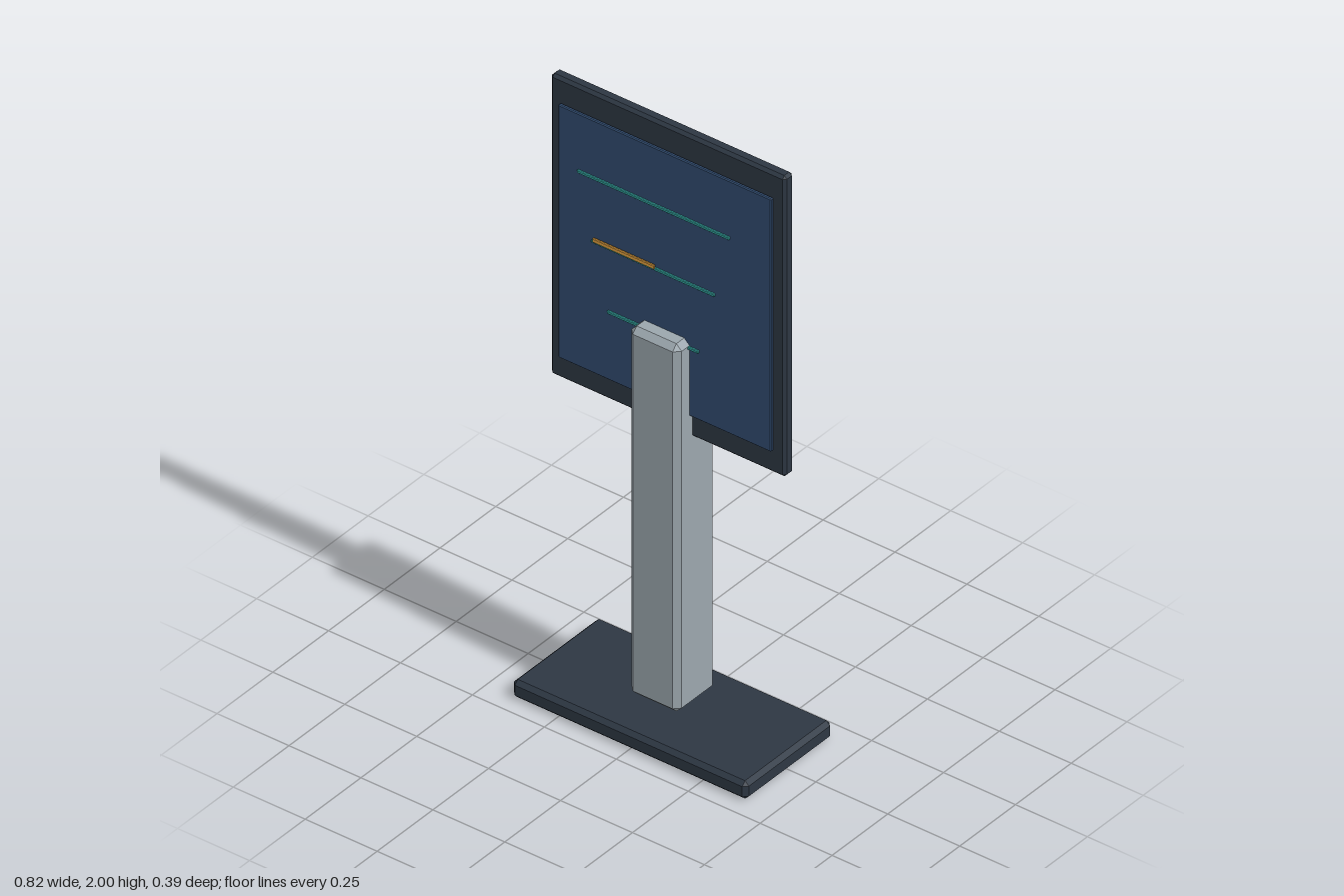
import * as THREE from 'three';
import { ConvexGeometry } from 'three/addons/geometries/ConvexGeometry.js';

const paint = (color) => new THREE.MeshStandardMaterial({ color, flatShading: true });

// Box between two corners with every edge cut by a single flat chamfer
function chamferBox(name, [x0, y0, z0], [x1, y1, z1], chamfer, material) {
  const half = [(x1 - x0) / 2, (y1 - y0) / 2, (z1 - z0) / 2];
  const points = [];
  for (const sx of [-1, 1]) for (const sy of [-1, 1]) for (const sz of [-1, 1]) {
    for (let axis = 0; axis < 3; axis++) {
      const [x, y, z] = half.map((h, i) => (i === axis ? h : h - chamfer));
      points.push(new THREE.Vector3(sx * x, sy * y, sz * z));
    }
  }
  const mesh = new THREE.Mesh(new ConvexGeometry(points), material);
  mesh.name = name;
  mesh.position.set((x0 + x1) / 2, (y0 + y1) / 2, (z0 + z1) / 2);
  return mesh;
}

export function createModel() {
  const model = new THREE.Group();
  model.name = 'displayStand';

  const dark = paint(0x2d3743);
  const metal = paint(0x9ba6ad);
  const glass = paint(0x314c70);
  const teal = paint(0x35aaa5);
  const amber = paint(0xe0a040);

  // Foot plate and post, with a small gap between them
  model.add(chamferBox('base', [-0.408, 0, -0.195], [0.408, 0.06, 0.195], 0.013, dark));
  model.add(chamferBox('post', [-0.087, 0.09, -0.087], [0.087, 1.325, 0.087], 0.018, metal));

  // Upright panel with the screen on its front
  model.add(chamferBox('panel', [-0.408, 0.99, -0.02], [0.408, 2, 0.02], 0.009, dark));
  model.add(chamferBox('screen', [-0.37, 1.07, 0.022], [0.37, 1.92, 0.034], 0.003, glass));

  // Thin lines on the screen: left end, right end, height
  const lines = [[-0.3, 0.23, 1.73], [-0.25, 0.178, 1.517], [-0.195, 0.122, 1.302]];
  lines.forEach(([left, right, y], i) => {
    model.add(chamferBox(`screenLine${i + 1}`, [left, y - 0.005, 0.034], [right, y + 0.005, 0.042], 0.002, teal));
  });
  model.add(chamferBox('highlightBar', [-0.24, 1.521, 0.041], [-0.025, 1.535, 0.049], 0.002, amber));

  return model;
}
